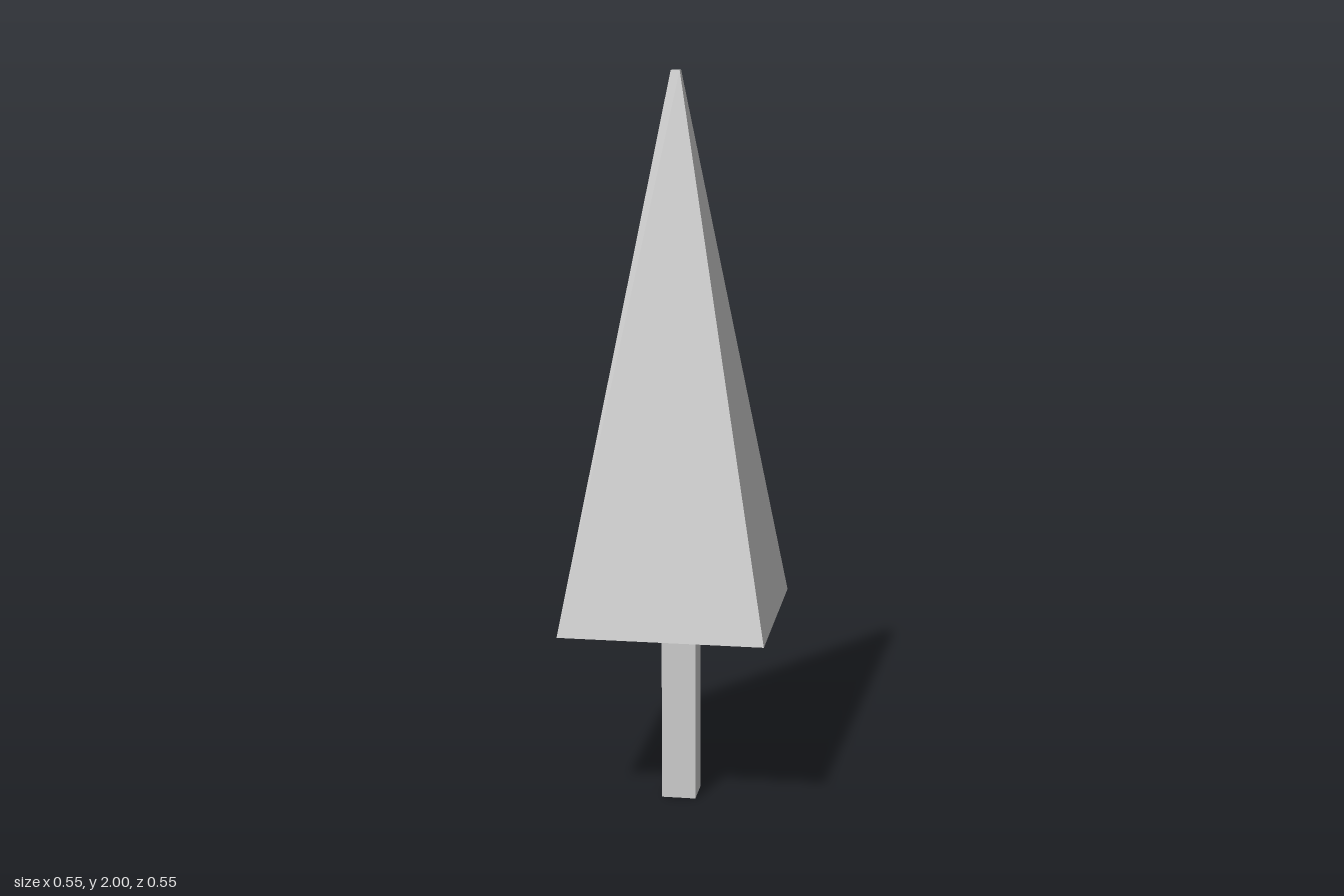
import * as THREE from 'three';

const material = new THREE.MeshStandardMaterial({ color: 0xcccccc, flatShading: true });

// Square frustum standing on y = 0, given by half widths
function squareFrustum(topHalf, bottomHalf, height) {
  const g = new THREE.CylinderGeometry(topHalf * Math.SQRT2, bottomHalf * Math.SQRT2, height, 4);
  return g.rotateY(Math.PI / 4).translate(0, height / 2, 0);
}

export function createModel() {
  const tree = new THREE.Group();
  tree.name = 'tree';
  const canopyBase = 0.523;

  // Tall four-sided canopy with a tiny flat tip
  const canopy = new THREE.Mesh(squareFrustum(0.012, 0.277, 2 - canopyBase), material);
  canopy.name = 'canopy';
  canopy.position.y = canopyBase;

  // Square trunk, slightly off centre
  const trunk = new THREE.Mesh(squareFrustum(0.047, 0.047, canopyBase), material);
  trunk.name = 'trunk';
  trunk.position.set(0.014, 0, -0.007);

  tree.add(canopy, trunk);
  return tree;
}
